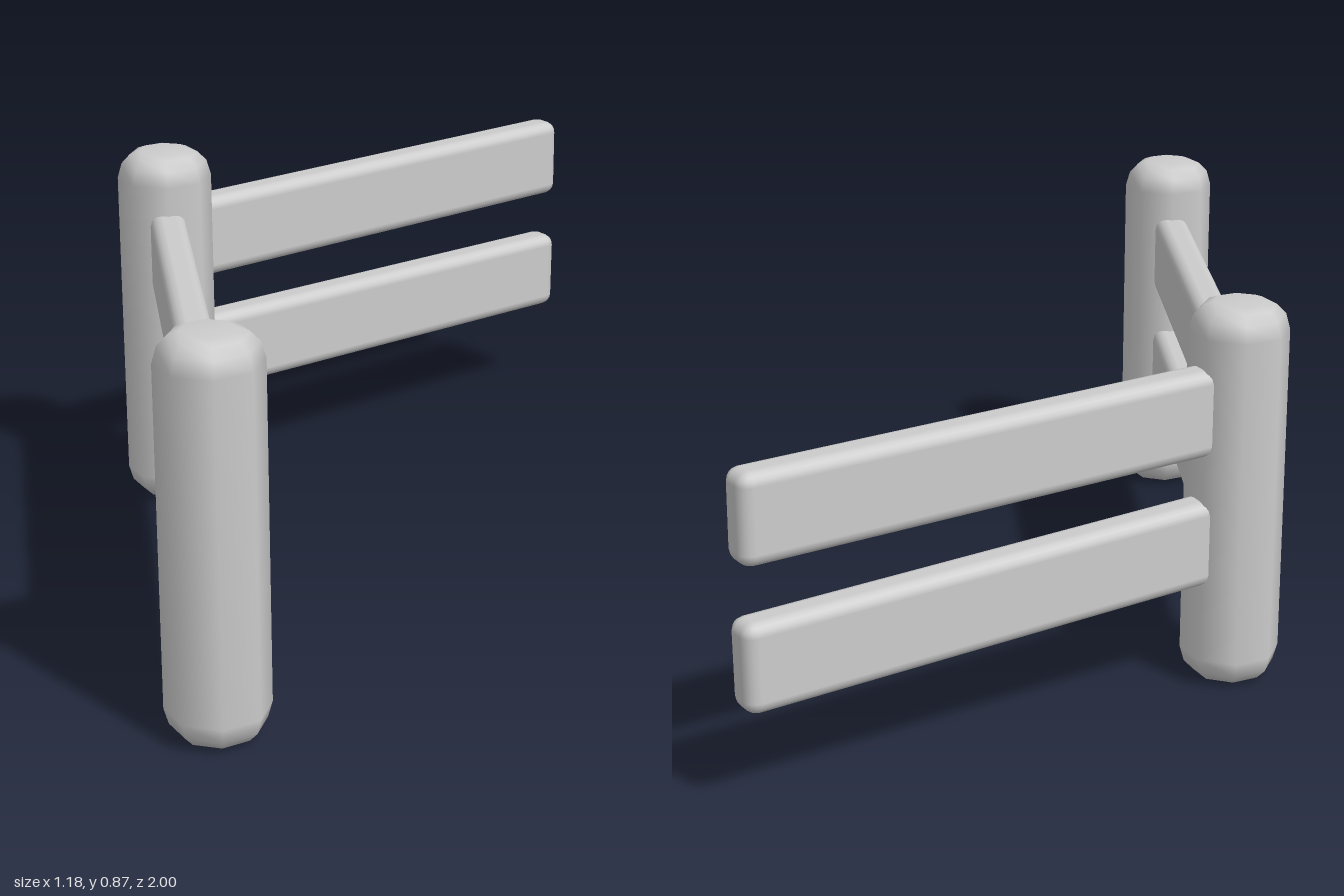
import * as THREE from 'three';
import { RoundedBoxGeometry } from 'three/addons/geometries/RoundedBoxGeometry.js';

const material = new THREE.MeshStandardMaterial({ color: 0xcccccc });
const POST_X = -0.48, FRONT_Z = 0.888, CORNER_Z = -0.365, POST_HEIGHT = 0.866;

// Eight-sided post with rounded ends
function makePost(name, z) {
  const end = [[0, 0], [0.056, 0], [0.08, 0.009], [0.1, 0.03], [0.11, 0.065]];
  const profile = [
    ...end.map(([r, y]) => new THREE.Vector2(r, y)),
    ...end.slice().reverse().map(([r, y]) => new THREE.Vector2(r, POST_HEIGHT - y)),
  ];
  const post = new THREE.Mesh(new THREE.LatheGeometry(profile, 8), material);
  post.name = name;
  post.position.set(POST_X, 0, z);
  return post;
}

// Pair of rounded planks running along local +x; the lower one sags slightly
function makeRails(name, length) {
  const group = new THREE.Group();
  group.name = name;
  const geometry = new RoundedBoxGeometry(length, 0.195, 0.083, 2, 0.028);
  geometry.translate(length / 2, 0, 0);
  for (const [part, y, sag] of [['upperRail', 0.636, 0], ['lowerRail', 0.339, 0.0125]]) {
    const rail = new THREE.Mesh(geometry, material);
    rail.name = part;
    rail.position.y = y;
    rail.rotation.z = -sag;
    group.add(rail);
  }
  return group;
}

export function createModel() {
  const model = new THREE.Group();
  model.name = 'cornerFence';
  model.add(makePost('frontPost', FRONT_Z), makePost('cornerPost', CORNER_Z));

  // Straight span between the two posts
  const sideRails = makeRails('sideRails', FRONT_Z - CORNER_Z);
  sideRails.position.set(POST_X, 0, FRONT_Z);
  sideRails.rotation.y = Math.PI / 2;

  // Angled span leaving the corner post with a free end
  const backRails = makeRails('backRails', 1.22);
  backRails.position.set(POST_X, 0, CORNER_Z);
  backRails.rotation.y = Math.PI / 6;

  model.add(sideRails, backRails);
  return model;
}
